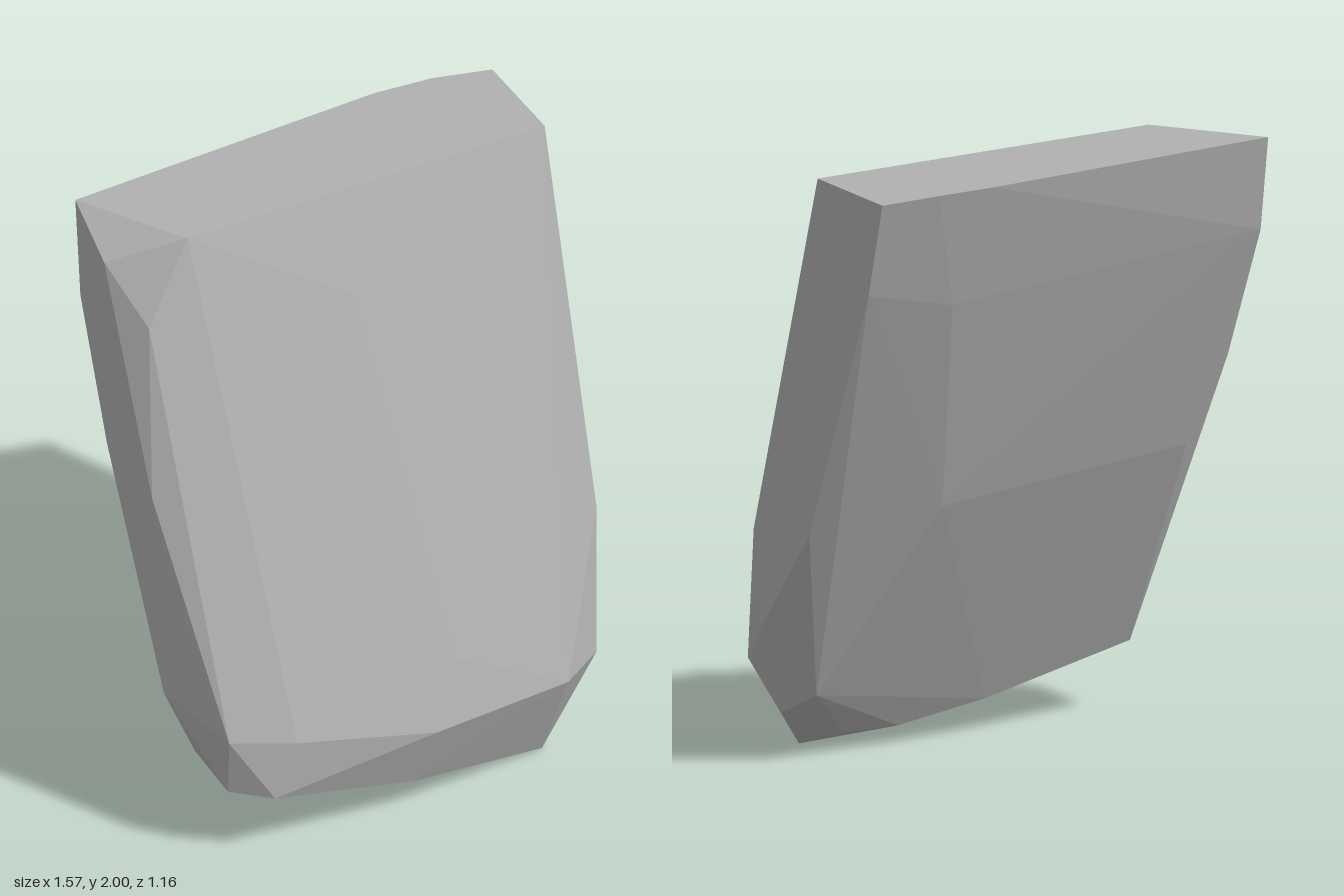
import * as THREE from 'three';
import { ConvexGeometry } from 'three/addons/geometries/ConvexGeometry.js';

const toVectors = (list) => list.map((p) => new THREE.Vector3(...p));

export function createModel() {
  const stone = new THREE.MeshStandardMaterial({ color: 0xb0b0b0 });
  stone.name = 'stone grey';

  // flat cut top with a chipped corner
  const top = [
    [-0.77, 2, -0.42], [0.37, 2, -0.58], [0.58, 1.997, -0.585],
    [0.785, 1.985, -0.565], [0.785, 2, -0.17], [-0.54, 2, -0.06],
    [-0.785, 1.91, -0.17], [-0.71, 1.74, 0.01],
  ];
  // sloping front slab and its lower edge
  const front = [
    [0, 1.7, 0.035], [0.15, 0.52, 0.49], [-0.45, 0.41, 0.58], [-0.67, 0.44, 0.53],
    [-0.53, 0.22, 0.58], [0.05, 0.31, 0.575], [0.56, 0.31, 0.485], [0.72, 0.31, 0.36],
  ];
  // side walls
  const sides = [
    [0.785, 1.67, -0.48], [0.785, 0.81, -0.12], [0.785, 0.77, 0.22], [0.785, 0.46, 0.17],
    [-0.785, 1.68, -0.35], [-0.785, 1.23, -0.15], [-0.775, 1.2, 0.17], [-0.785, 0.52, 0.28],
  ];
  // faceted back
  const back = [
    [0.46, 1.6, -0.47], [0.33, 0.87, -0.2], [-0.41, 1.78, -0.4],
    [-0.63, 1.36, -0.25], [-0.66, 0.94, -0.1], [0.64, 0.23, 0.07],
  ];
  // tapered foot
  const foot = [
    [0.52, 0, 0.37], [0.68, 0.15, 0.22], [0.45, 0.06, 0.2], [0.25, 0.06, 0.2],
    [-0.08, 0.11, 0.2], [-0.65, 0.23, 0.23], [-0.66, 0.235, 0.5], [0, 0.1, 0.51],
  ];

  const rock = new THREE.Mesh(
    new ConvexGeometry(toVectors([...top, ...front, ...sides, ...back, ...foot])),
    stone
  );
  rock.name = 'rock';

  const group = new THREE.Group();
  group.name = 'leaningRock';
  group.add(rock);
  return group;
}
